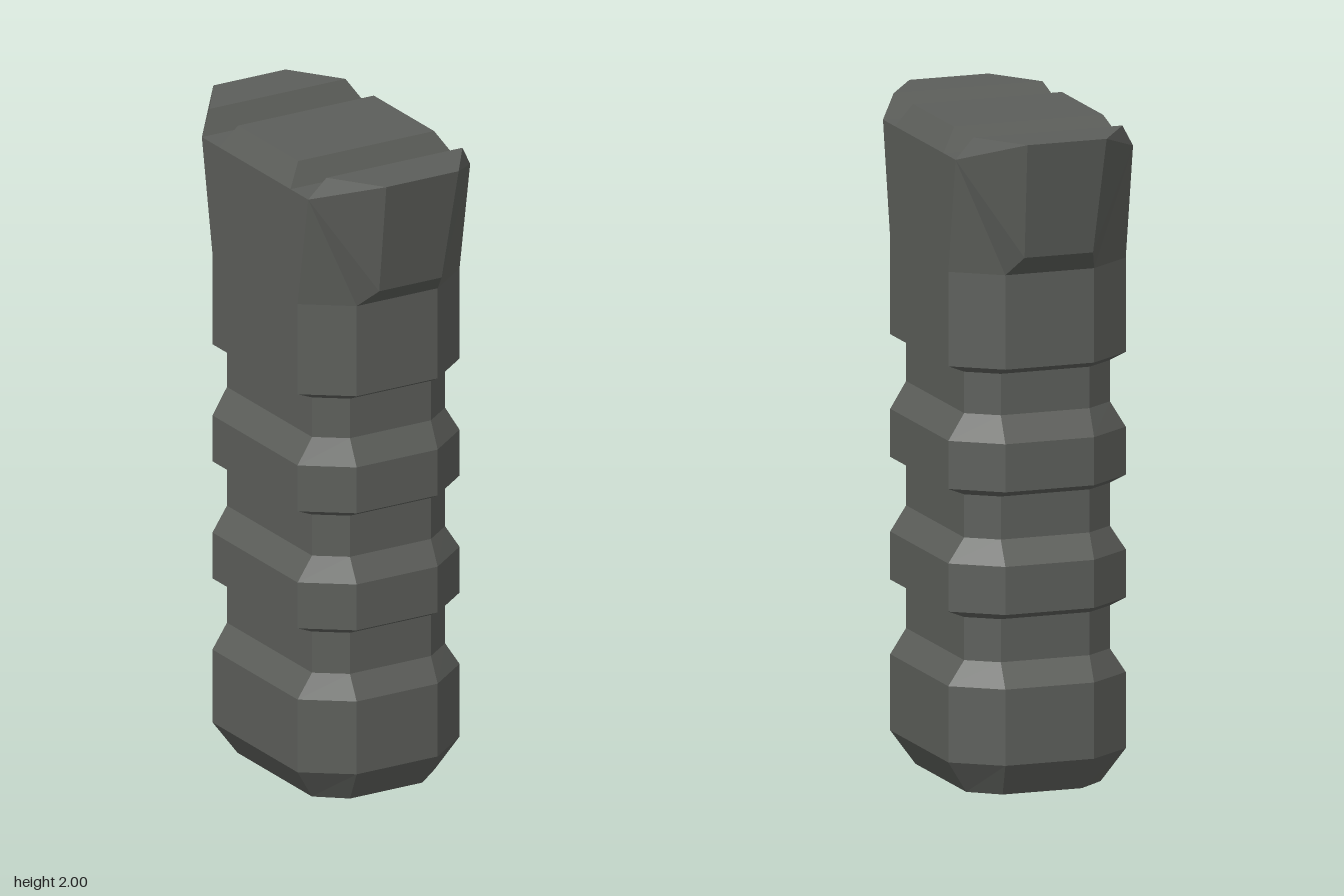
import * as THREE from 'three';

const material = new THREE.MeshStandardMaterial({ color: 0x5c5e5a, flatShading: true });

// Builds a faceted mesh from convex polygons, corners counter-clockwise from outside
function facetedMesh(name, polygons) {
  const positions = [];
  for (const p of polygons) {
    for (let i = 1; i < p.length - 1; i++) positions.push(...p[0], ...p[i], ...p[i + 1]);
  }
  const geometry = new THREE.BufferGeometry();
  geometry.setAttribute('position', new THREE.Float32BufferAttribute(positions, 3));
  geometry.computeVertexNormals();
  const mesh = new THREE.Mesh(geometry, material);
  mesh.name = name;
  return mesh;
}

// Eight-sided cross-section: outer half sizes hx, hz and half flats fx, fz
function ring(y, hx, hz, fx = 0.14, fz = 0.24) {
  return [
    [fx, y, hz], [hx, y, fz], [hx, y, -fz], [fx, y, -hz],
    [-fx, y, -hz], [-hx, y, -fz], [-hx, y, fz], [-fx, y, hz],
  ];
}

// Ribbed handle lofted through the cross-sections
function createGrip() {
  const wide = (y) => ring(y, 0.28, 0.345);
  const narrow = (y) => ring(y, 0.23, 0.307);
  const rings = [ring(0, 0.212, 0.283, 0.125, 0.21), wide(0.1)];
  // Each groove: top of lower rib, slope in, waist, sharp step out
  for (const [a, b, c, d] of [
    [0.33, 0.405, 0.535, 0.555],
    [0.7, 0.775, 0.905, 0.925],
    [1.07, 1.15, 1.275, 1.295],
  ]) rings.push(wide(a), narrow(b), narrow(c), wide(d));
  rings.push(wide(1.58));

  const polygons = [[...rings[0]].reverse()];
  for (let r = 0; r < rings.length - 1; r++) {
    for (let i = 0; i < 8; i++) {
      const j = (i + 1) % 8;
      polygons.push([rings[r][i], rings[r][j], rings[r + 1][j], rings[r + 1][i]]);
    }
  }
  return facetedMesh('grip', polygons);
}

// Flared head with front and back horns, defined as one quarter and mirrored
function createHead() {
  const midX = ([, y, z]) => [0, y, z];
  const midZ = ([x, y]) => [x, y, 0];
  const A = [0.14, 1.58, 0.345];   // neck, front corner
  const B = [0.28, 1.58, 0.24];    // neck, side corner
  const C = [0.108, 1.645, 0.42];  // horn, lower lip
  const D = [0.28, 1.93, 0.30];    // groove, outer edge
  const E = [0.125, 2, 0.488];     // horn tip
  const F = [0.235, 2, 0.33];      // horn, inner top edge
  const G = [0.28, 1.93, 0.20];    // groove, inner edge
  const H = [0.235, 2, 0.17];      // centre block top
  const across = (p, q) => [midX(p), p, q, midX(q)];
  const along = (p, q) => [p, midZ(p), midZ(q), q];
  const quarter = [
    across(A, C), across(C, E), across(E, F), across(F, D), across(D, G), across(G, H),
    [midX(H), H, midZ(H), [0, 2, 0]],
    along(B, D), along(G, H),
    [A, B, D], [A, D, C], [C, D, E], [E, D, F],
  ];
  const polygons = [];
  for (const sx of [1, -1]) {
    for (const sz of [1, -1]) {
      for (const face of quarter) {
        const mirrored = face.map(([x, y, z]) => [x * sx, y, z * sz]);
        polygons.push(sx * sz < 0 ? mirrored.reverse() : mirrored);
      }
    }
  }
  return facetedMesh('head', polygons);
}

export function createModel() {
  const model = new THREE.Group();
  model.name = 'ribbedGrip';
  model.add(createGrip(), createHead());
  return model;
}
